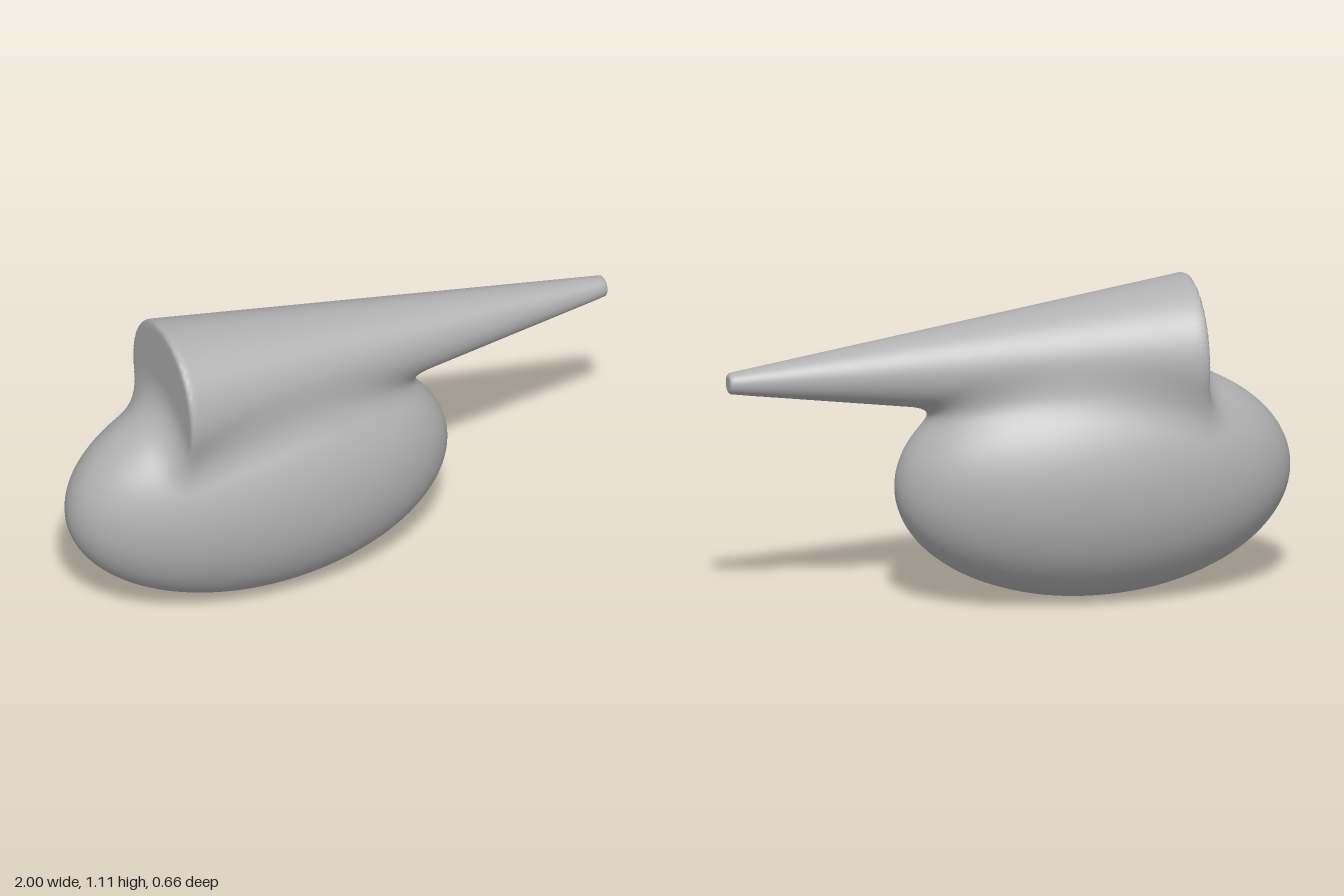
import * as THREE from 'three';
import { mergeVertices } from 'three/addons/utils/BufferGeometryUtils.js';

const BLEND = 0.1; // softness of the join between body and cone
const ROUND = 0.015; // rounding of the cone's rims

// Egg-shaped body: signed distance to an ellipsoid
function bodyDistance(p) {
  const x = p.x + 0.3, y = p.y - 0.42, z = p.z;
  const k0 = Math.hypot(x / 0.7, y / 0.42, z / 0.33);
  const k1 = Math.hypot(x / 0.49, y / 0.1764, z / 0.1089);
  return k1 < 1e-6 ? -0.33 : k0 * (k0 - 1) / k1;
}

// Long tapering cone lying along x: signed distance to a capped cone
function coneDistance(p) {
  const h = 0.825 - ROUND, r1 = 0.266 - ROUND, r2 = 0.038 - ROUND;
  const qx = Math.hypot(p.y - 0.842, p.z), qy = p.x - 0.175;
  const kx = r2 - r1, ky = 2 * h;
  const ax = qx - Math.min(qx, qy < 0 ? r1 : r2), ay = Math.abs(qy) - h;
  const t = THREE.MathUtils.clamp(((r2 - qx) * kx + (h - qy) * ky) / (kx * kx + ky * ky), 0, 1);
  const bx = qx - r2 + kx * t, by = qy - h + ky * t;
  const sign = bx < 0 && ay < 0 ? -1 : 1;
  return sign * Math.sqrt(Math.min(ax * ax + ay * ay, bx * bx + by * by)) - ROUND;
}

// Smooth union of both forms
function distance(p) {
  const a = bodyDistance(p), b = coneDistance(p);
  const k = Math.max(BLEND - Math.abs(a - b), 0) / BLEND;
  return Math.min(a, b) - k * k * BLEND * 0.25;
}

export function createModel() {
  const group = new THREE.Group();
  const grey = new THREE.MeshStandardMaterial({ color: 0xb0b0b0 });
  grey.name = 'grey';

  // A sphere grown outward from a point inside both forms, its pole aimed at the cone tip
  const centre = new THREE.Vector3(-0.2, 0.7, 0);
  const toTip = new THREE.Vector3(1, 0.842, 0).sub(centre).normalize();
  const aim = new THREE.Quaternion().setFromUnitVectors(new THREE.Vector3(0, 1, 0), toTip);
  let geometry = new THREE.SphereGeometry(1, 144, 240);
  const pos = geometry.attributes.position;
  const dir = new THREE.Vector3(), p = new THREE.Vector3();
  for (let i = 0; i < pos.count; i++) {
    dir.fromBufferAttribute(pos, i);
    // Crowd the rings toward the thin tip
    const theta = Math.PI * Math.pow(Math.acos(THREE.MathUtils.clamp(dir.y, -1, 1)) / Math.PI, 1.6);
    const phi = Math.atan2(dir.z, dir.x);
    dir.set(Math.sin(theta) * Math.cos(phi), Math.cos(theta), Math.sin(theta) * Math.sin(phi));
    dir.applyQuaternion(aim);
    // Bisect along the ray to the surface
    let near = 0, far = 1.6;
    for (let n = 0; n < 26; n++) {
      const mid = (near + far) / 2;
      if (distance(p.copy(centre).addScaledVector(dir, mid)) < 0) near = mid;
      else far = mid;
    }
    p.copy(centre).addScaledVector(dir, near);
    pos.setXYZ(i, p.x, p.y, p.z);
  }

  // Weld the seam for smooth shading
  geometry.deleteAttribute('uv');
  geometry.deleteAttribute('normal');
  geometry = mergeVertices(geometry, 1e-5);
  geometry.computeVertexNormals();

  const mesh = new THREE.Mesh(geometry, grey);
  mesh.name = 'bodyWithCone';
  group.add(mesh);
  return group;
}
